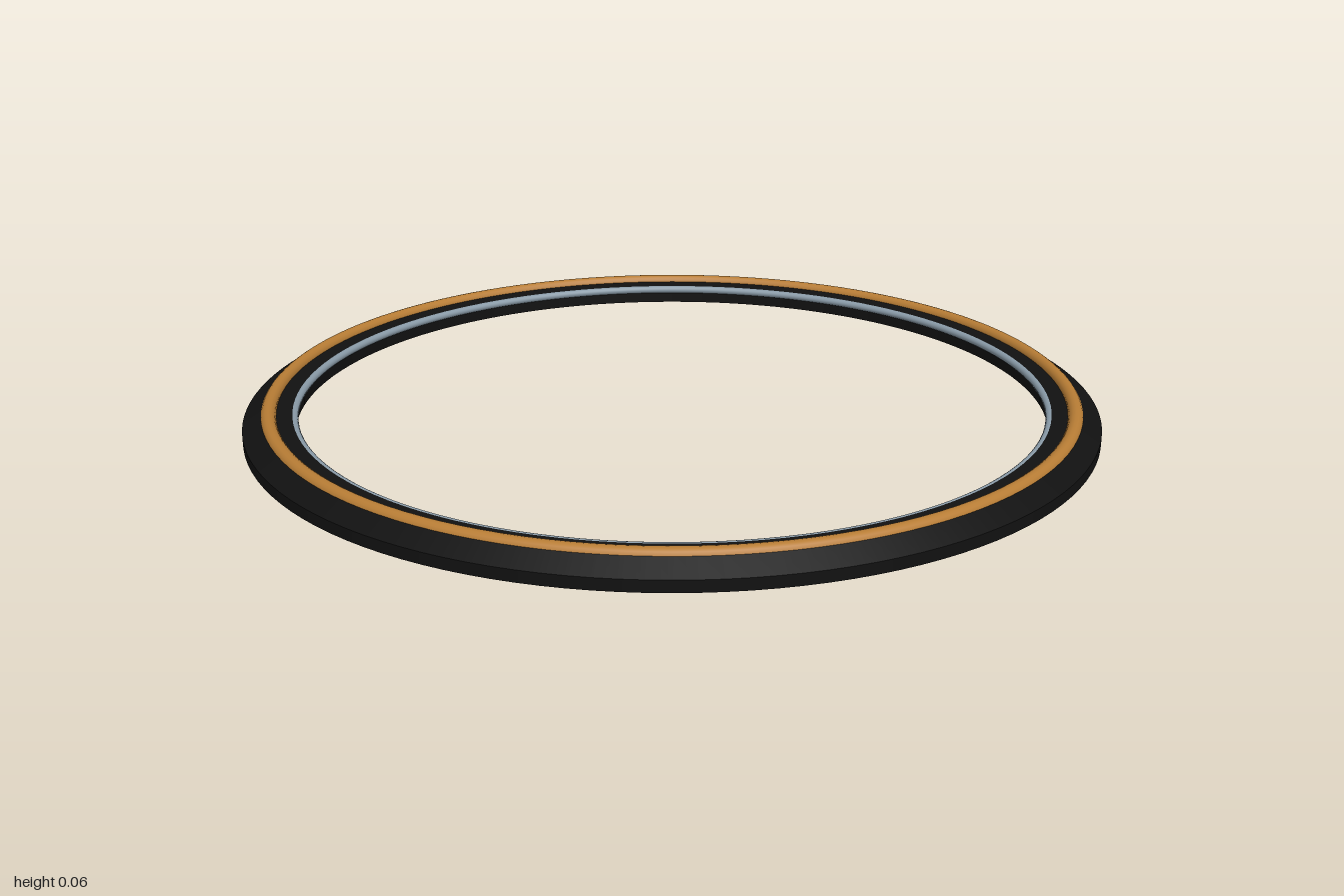
import * as THREE from 'three';

const SEGMENTS = 128;

export function createModel() {
  const model = new THREE.Group();
  model.name = 'ringFrame';

  const black = new THREE.MeshStandardMaterial({ color: 0x111111, side: THREE.DoubleSide });
  black.name = 'black';
  const bronze = new THREE.MeshStandardMaterial({ color: 0xb87d35 });
  bronze.name = 'bronze';
  const steel = new THREE.MeshStandardMaterial({ color: 0x8a9ba8 });
  steel.name = 'steel';

  function add(name, geometry, material) {
    const mesh = new THREE.Mesh(geometry, material);
    mesh.name = name;
    model.add(mesh);
    return mesh;
  }

  // One straight band of the hollow shell, so the edges between bands stay sharp
  function band(name, r0, y0, r1, y1) {
    const profile = [new THREE.Vector2(r0, y0), new THREE.Vector2(r1, y1)];
    add(name, new THREE.LatheGeometry(profile, SEGMENTS), black);
  }

  // Round bead running around the shell
  function bead(name, radius, tube, y, material) {
    const geometry = new THREE.TorusGeometry(radius, tube, 16, SEGMENTS);
    geometry.rotateX(-Math.PI / 2);
    add(name, geometry, material).position.y = y;
  }

  // Hollow shell, open underneath
  band('outerRim', 1, 0, 1, 0.026);
  band('outerBevel', 1, 0.026, 0.948, 0.058);
  band('topFace', 0.932, 0.05, 0.883, 0.046);
  band('innerWall', 0.883, 0.046, 0.883, 0);

  // Beads set into the shell
  bead('bronzeBead', 0.94, 0.0175, 0.0475, bronze);
  bead('steelBead', 0.884, 0.01, 0.037, steel);

  return model;
}
